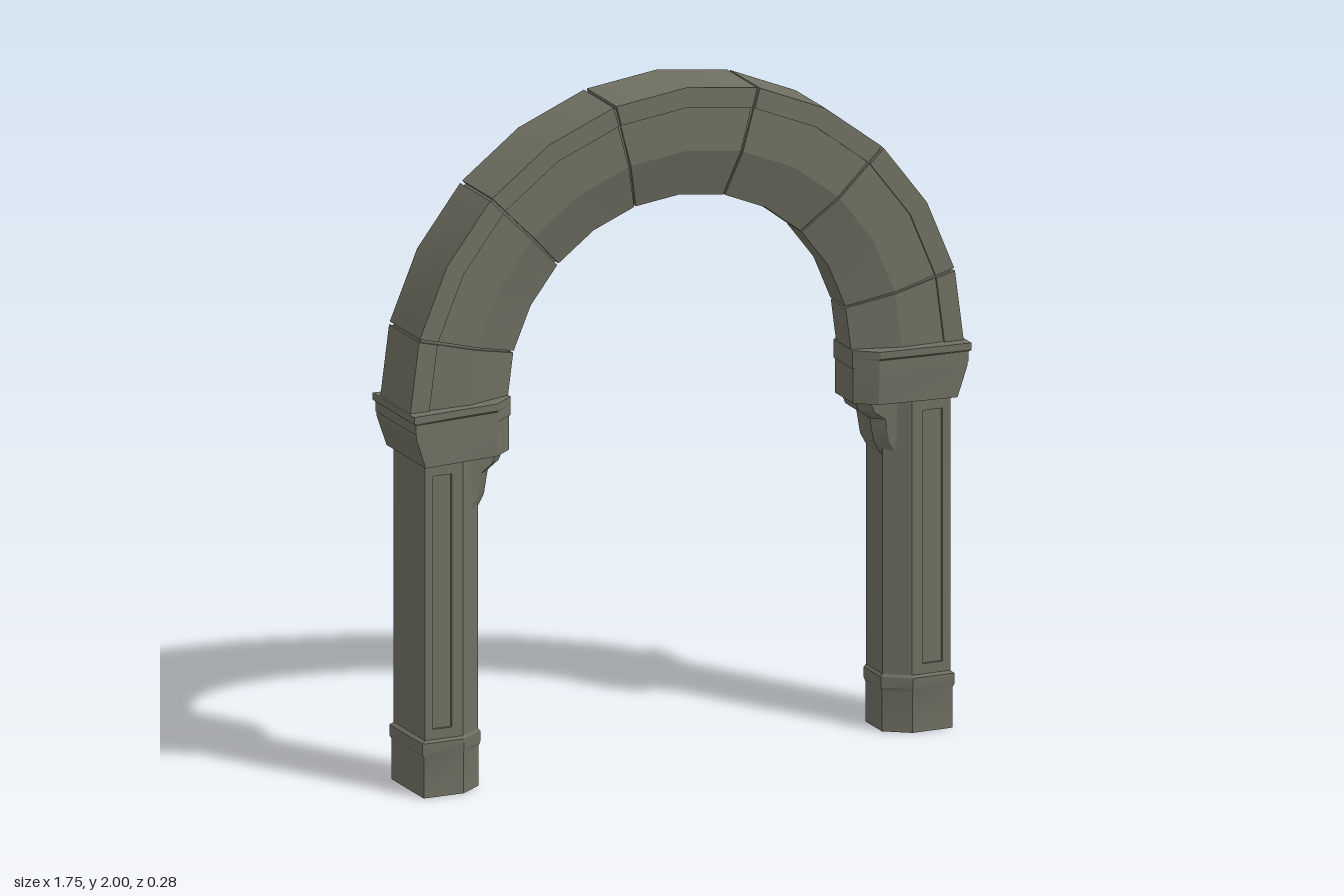
import * as THREE from 'three';
import { toCreasedNormals } from 'three/addons/utils/BufferGeometryUtils.js';

const stone = new THREE.MeshStandardMaterial({ color: 0x6f6f62 });
const deg = Math.PI / 180;

// Mirror a half section [[u, z], ...] (outside to inside) across z = 0.
const closed = (half) => [...half, ...half.slice().reverse().map(([u, z]) => [u, -z])];

// Skin a row of equal rings and cap both ends.
function loft(name, sections, place) {
  const n = sections[0].length;
  const pos = sections.flatMap((s, k) => s.flatMap(([u, z]) => place(u, z, k)));
  const idx = [];
  for (let k = 0; k < sections.length - 1; k++) {
    for (let i = 0; i < n; i++) {
      const a = k * n + i, b = k * n + (i + 1) % n;
      idx.push(b, a, a + n, b, a + n, b + n);
    }
  }
  const cap = (s, base, flip) => {
    const outline = s.map(([u, z]) => new THREE.Vector2(u, -z)).reverse();
    for (const t of THREE.ShapeUtils.triangulateShape(outline, [])) {
      const [a, b, c] = t.map((i) => base + n - 1 - i);
      idx.push(...(flip ? [a, c, b] : [a, b, c]));
    }
  };
  cap(sections[0], 0, true);
  cap(sections[sections.length - 1], (sections.length - 1) * n, false);
  const geo = new THREE.BufferGeometry();
  geo.setAttribute('position', new THREE.Float32BufferAttribute(pos, 3));
  geo.setIndex(idx);
  const mesh = new THREE.Mesh(toCreasedNormals(geo.toNonIndexed(), 17 * deg), stone);
  mesh.name = name;
  return mesh;
}

// Upright part: rows of [y, half plan].
const upright = (name, rows) =>
  loft(name, rows.map((r) => closed(r[1])), (x, z, k) => [x, rows[k][0], z]);

// Curved part: one section swept between two angles around the arch centre.
function sweep(name, half, from, to, steps) {
  const sections = Array.from({ length: steps + 1 }, () => closed(half));
  return loft(name, sections, (r, z, k) => {
    const a = (from + (to - from) * k / steps) * deg;
    return [r * Math.cos(a), 1.13 + r * Math.sin(a), z];
  });
}

function createPillar() {
  const pillar = new THREE.Group();

  // Plinth with a small bevel at the top
  pillar.add(upright('plinth', [
    [0, [[0.83, 0.107], [0.705, 0.107], [0.633, 0.055]]],
    [0.12, [[0.83, 0.107], [0.705, 0.107], [0.633, 0.055]]],
    [0.13, [[0.835, 0.11], [0.705, 0.11], [0.629, 0.057]]],
    [0.162, [[0.835, 0.11], [0.705, 0.11], [0.629, 0.057]]],
    [0.17, [[0.825, 0.104], [0.705, 0.104], [0.635, 0.055]]],
  ]));

  // Shaft with chamfered inner corners and a sunken panel on both faces
  const plain = [[0.825, 0.104], [0.705, 0.104], [0.635, 0.055]];
  const panel = [[0.825, 0.104], [0.8, 0.104], [0.8, 0.095], [0.74, 0.095], [0.74, 0.104],
    [0.705, 0.104], [0.635, 0.055]];
  pillar.add(upright('shaftBottom', [[0.16, plain], [0.2, plain]]));
  pillar.add(upright('shaft', [[0.2, panel], [0.95, panel]]));
  pillar.add(upright('shaftTop', [[0.95, plain], [1.0, plain]]));

  // Stepped bracket under the capital
  const bracket = [[0.82, 0.634], [0.86, 0.612], [0.93, 0.6], [0.955, 0.565], [0.995, 0.55]];
  pillar.add(upright('bracket', bracket.map(([y, x]) =>
    [y, [[0.68, 0.08], [x + 0.035, 0.075], [x, 0.045]]])));

  // Flared capital and its two-step slab
  const capital = (x, z) => [[x, z], [0.6, z - 0.024], [0.54, 0.06]];
  pillar.add(upright('capital', [
    [0.985, capital(0.835, 0.131)], [1.075, capital(0.865, 0.133)], [1.09, capital(0.865, 0.133)],
  ]));
  const slab = (x, z) => [[x, z], [0.6, z - 0.024], [0.537, 0.063]];
  pillar.add(upright('capitalSlab', [
    [1.088, slab(0.868, 0.135)], [1.117, slab(0.868, 0.135)],
    [1.122, slab(0.875, 0.139)], [1.143, slab(0.875, 0.139)],
  ]));
  return pillar;
}

export function createModel() {
  const model = new THREE.Group();
  model.name = 'archway';

  // Two pillars, turned to face each other
  for (const side of ['left', 'right']) {
    const pillar = createPillar();
    pillar.name = side + 'Pillar';
    if (side === 'right') pillar.rotation.y = Math.PI;
    model.add(pillar);
  }

  // Wedge stones of the arch, with narrow joints over a slightly smaller core
  const section = [[0.87, 0.1], [0.81, 0.1], [0.81, 0.093], [0.68, 0.093], [0.54, 0.05]];
  const core = [[0.861, 0.09], [0.68, 0.084], [0.549, 0.044]];
  const joints = [0, 15, 45, 75, 105, 135, 165, 180];
  const gap = 0.3;
  for (let i = 0; i < 7; i++) {
    const from = joints[i] + gap, to = joints[i + 1] - gap;
    model.add(sweep('archStone' + (i + 1), section, from, to, i % 6 ? 2 : 1));
  }
  model.add(sweep('archCore', core, 0, 180, 12));
  return model;
}
